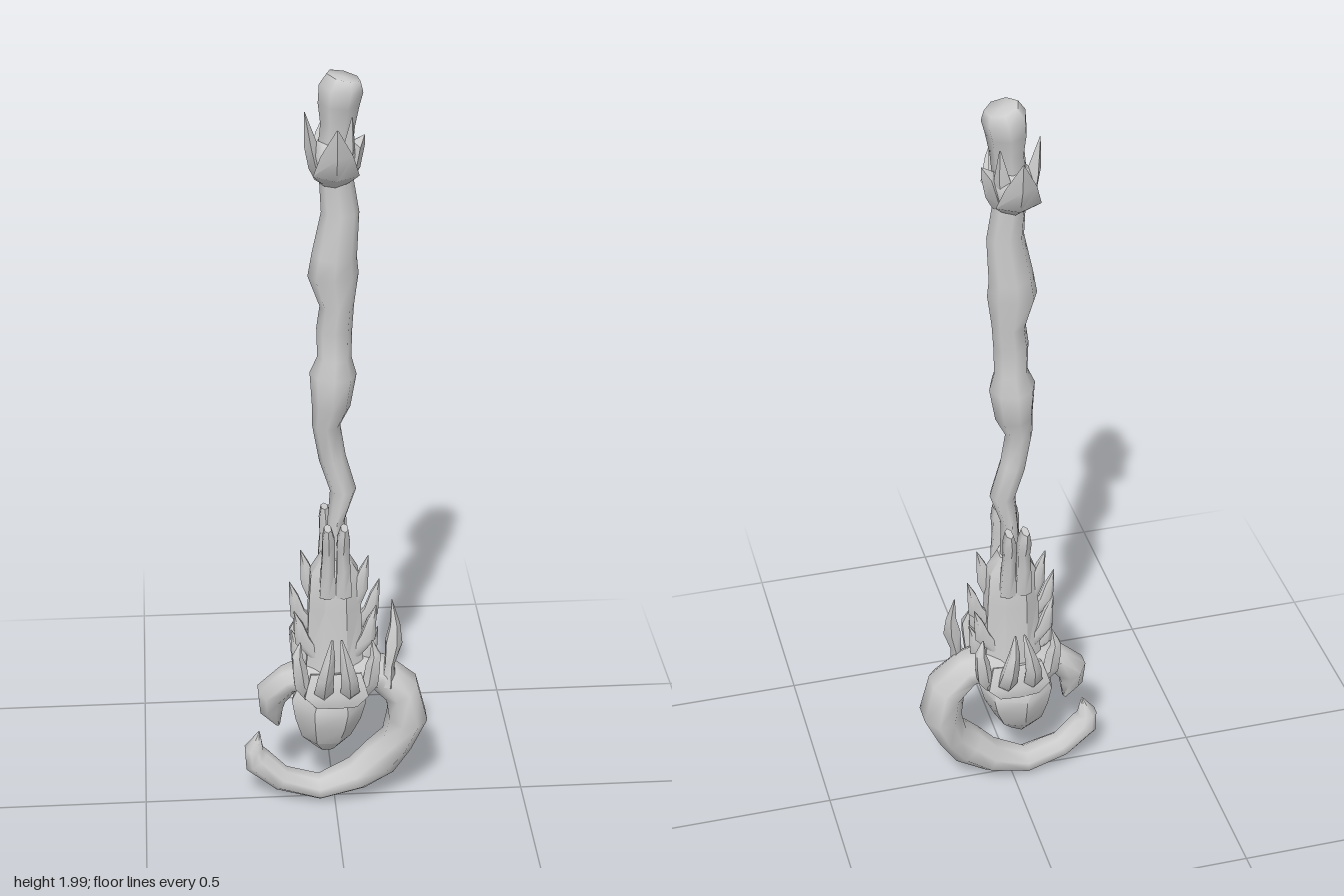
import * as THREE from 'three';
import { toCreasedNormals } from 'three/addons/utils/BufferGeometryUtils.js';

const stone = new THREE.MeshStandardMaterial({ color: 0xcccccc });
stone.name = 'grey stone';

// Sweeps an oval along rows of [x, y, z, radius in the xy plane, radius in z].
function sweep(rows, sides = 8, turn = 0, crease = 1.15) {
  const pos = [], idx = [];
  rows.forEach(([x, y, z, rn, rz], i) => {
    const p = rows[Math.max(i - 1, 0)], q = rows[Math.min(i + 1, rows.length - 1)];
    const len = Math.hypot(q[0] - p[0], q[1] - p[1]) || 1;
    const nx = (q[1] - p[1]) / len, ny = -(q[0] - p[0]) / len;
    for (let j = 0; j < sides; j++) {
      const a = turn + (j / sides) * Math.PI * 2;
      const c = Math.cos(a) * rn;
      pos.push(x + nx * c, y + ny * c, z + Math.sin(a) * rz);
    }
  });
  const last = rows.length - 1, s = rows.length * sides;
  pos.push(...rows[0].slice(0, 3), ...rows[last].slice(0, 3));
  for (let j = 0; j < sides; j++) {
    const k = (j + 1) % sides;
    for (let i = 0; i < last; i++) {
      const a = i * sides + j, b = i * sides + k;
      idx.push(a, a + sides, b, b, a + sides, b + sides);
    }
    idx.push(s, j, k, s + 1, last * sides + k, last * sides + j);
  }
  const g = new THREE.BufferGeometry();
  g.setAttribute('position', new THREE.Float32BufferAttribute(pos, 3));
  g.setIndex(idx);
  return toCreasedNormals(g, crease);
}

export function createModel() {
  const model = new THREE.Group();
  model.name = 'staff';
  const add = (name, geometry, angle = 0) => {
    const m = new THREE.Mesh(geometry, stone);
    m.name = name;
    m.rotation.y = angle;
    model.add(m);
  };

  // Gnarled wooden shaft
  add('shaft', sweep([
    [0, 0.66, 0, 0.03, 0.035], [0.005, 0.84, 0, 0.022, 0.035], [0.022, 0.92, 0, 0.033, 0.036],
    [-0.005, 1.01, 0, 0.034, 0.037], [-0.02, 1.1, 0, 0.035, 0.037], [-0.008, 1.155, 0, 0.048, 0.054],
    [-0.003, 1.24, 0, 0.058, 0.062], [0, 1.285, 0, 0.042, 0.046], [0, 1.36, 0, 0.044, 0.048],
    [0.006, 1.42, 0, 0.042, 0.048], [-0.003, 1.5, 0, 0.062, 0.054], [0, 1.55, 0, 0.055, 0.056],
    [0.014, 1.66, 0, 0.046, 0.042], [0.003, 1.76, 0, 0.04, 0.042], [0, 1.84, 0, 0.04, 0.045],
  ]));

  // Knob at the top end, with a slanted crown
  add('topKnob', sweep([
    [0, 1.8, 0, 0.042, 0.045], [0.008, 1.88, 0, 0.042, 0.042], [0.01, 1.93, 0, 0.05, 0.055],
    [0.016, 1.97, 0, 0.054, 0.06], [0.022, 1.995, 0, 0.042, 0.045],
  ], 7, 0.3));

  // Cup from which the leaves grow
  add('crownCup', sweep([
    [0, 1.735, 0, 0.036, 0.04], [0, 1.765, 0, 0.05, 0.07], [0, 1.81, 0, 0.055, 0.074], [0, 1.84, 0, 0.04, 0.05],
  ]));

  // Leaves around the knob: [angle, reach, tip height, half width]
  [[Math.PI / 2, 0.112, 1.9, 0.055], [-Math.PI / 2, 0.112, 1.9, 0.055], [0.05, 0.072, 1.85, 0.05],
    [Math.PI, 0.07, 1.91, 0.05], [0.9, 0.062, 1.91, 0.03], [-0.9, 0.062, 1.91, 0.03]].forEach(([a, reach, tip, w]) =>
    add('crownLeaf', sweep([
      [0.035, 1.745, 0, 0.012, w * 0.6], [reach * 0.62, 1.775, 0, 0.018, w],
      [reach * 0.8, 1.83, 0, 0.016, w * 0.7], [reach, tip, 0, 0.001, 0.002],
    ], 4, 0, 0.7), a));

  // Broad panelled socket joining the shaft to the head
  add('socket', sweep([
    [0, 0.38, 0, 0.085, 0.075], [0, 0.45, 0, 0.078, 0.064], [0, 0.6, 0, 0.072, 0.062],
    [0, 0.69, 0, 0.066, 0.058], [0, 0.74, 0, 0.035, 0.045],
  ], 8, Math.PI / 8, 0.7));

  for (const face of [Math.PI / 2, -Math.PI / 2]) {
    // Flared prongs topping the front and back panels
    for (const s of [-1, 1]) {
      add('prong', sweep([
        [0.045, 0.64, s * 0.02, 0.018, 0.024], [0.052, 0.72, s * 0.02, 0.018, 0.02],
        [0.054, 0.77, s * 0.018, 0.019, 0.018], [0.06, 0.81, s * 0.019, 0.027, 0.018],
        [0.062, 0.842, s * 0.021, 0.022, 0.01],
      ], 6));
      model.children.at(-1).rotation.y = face;
      // Inner claws, bulging outwards
      add('innerClaw', sweep([
        [0.06, 0.355, s * 0.03, 0.02, 0.025], [0.092, 0.39, s * 0.034, 0.024, 0.026],
        [0.11, 0.44, s * 0.03, 0.025, 0.022], [0.108, 0.49, s * 0.02, 0.02, 0.015],
        [0.09, 0.535, s * 0.012, 0.003, 0.003],
      ], 5), face);
    }
    // Brow plates over the gem
    add('browPlate', sweep([
      [0.085, 0.335, 0, 0.012, 0.06], [0.082, 0.365, 0, 0.022, 0.095], [0.06, 0.42, 0, 0.022, 0.075],
    ], 6), face);
  }

  // Outer claws at the four corners
  for (const sx of [-1, 1]) for (const sz of [-1, 1]) {
    add('outerClaw', sweep([
      [0.08, 0.36, 0, 0.025, 0.025], [0.113, 0.4, 0, 0.022, 0.022], [0.12, 0.45, 0, 0.02, 0.02],
      [0.126, 0.48, 0, 0.014, 0.016], [0.115, 0.52, 0, 0.002, 0.002],
    ], 5), Math.atan2(-sz * 0.075, sx * 0.1));
  }

  // Stacked splinters along both sides: [base height, tip height, reach, z]
  for (const side of [0, Math.PI]) {
    [[0.6, 0.74, 0.085, 0.02], [0.52, 0.66, 0.115, 0], [0.46, 0.6, 0.105, 0.03],
      [0.46, 0.59, 0.105, -0.03], [0.4, 0.52, 0.112, 0]]
      .forEach(([y0, y1, reach, z]) => add('sideSplinter', sweep([
        [0.05, y0, z, 0.016, 0.012], [reach - 0.022, y0 + (y1 - y0) * 0.35, z, 0.022, 0.014],
        [reach - 0.012, y0 + (y1 - y0) * 0.7, z, 0.013, 0.011], [reach, y1, z, 0.001, 0.002],
      ], 5), side));
  }

  // Open crescent hook around the gem
  add('hook', sweep([
    [-0.148, 0.238, 0, 0.006, 0.01], [-0.165, 0.285, 0, 0.032, 0.032], [-0.165, 0.33, 0, 0.042, 0.048],
    [-0.12, 0.375, 0, 0.035, 0.055], [-0.05, 0.4, 0, 0.035, 0.075], [0.04, 0.41, 0, 0.04, 0.075],
    [0.12, 0.385, 0, 0.046, 0.06], [0.175, 0.335, 0, 0.05, 0.07], [0.192, 0.255, 0, 0.054, 0.08],
    [0.165, 0.18, 0, 0.044, 0.066], [0.12, 0.125, 0, 0.054, 0.056], [0.06, 0.078, 0, 0.042, 0.058],
    [-0.04, 0.04, 0, 0.032, 0.045], [-0.14, 0.07, 0, 0.032, 0.04], [-0.205, 0.13, 0, 0.038, 0.038],
    [-0.212, 0.165, 0, 0.026, 0.028], [-0.198, 0.215, 0, 0.002, 0.004],
  ], 8, Math.PI / 8));

  // Thorn standing on the hook
  add('thorn', sweep([
    [0.135, 0.37, 0.04, 0.02, 0.025], [0.14, 0.43, 0.035, 0.014, 0.02],
    [0.15, 0.49, 0.03, 0.024, 0.024], [0.154, 0.54, 0.022, 0.014, 0.016], [0.147, 0.605, 0.012, 0.001, 0.002],
  ], 5));

  // Rough gem held inside the hook
  add('gem', sweep([
    [-0.02, 0.172, 0, 0.03, 0.035], [-0.022, 0.205, 0, 0.066, 0.062], [-0.018, 0.26, 0, 0.088, 0.085],
    [-0.016, 0.315, 0, 0.1, 0.102], [-0.01, 0.36, 0, 0.082, 0.08], [0, 0.4, 0, 0.05, 0.05],
  ], 7, 0.2, 0.8));

  return model;
}
